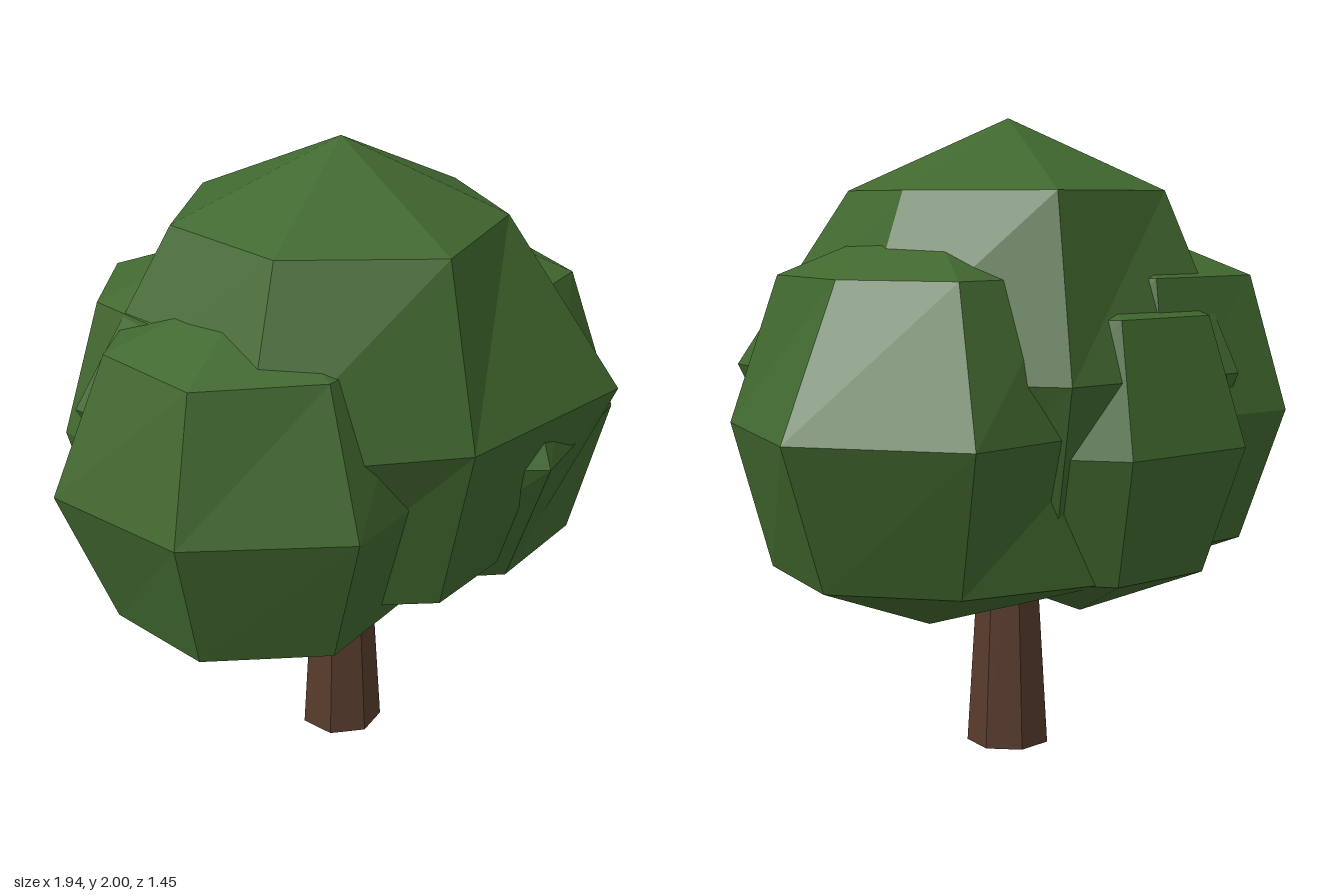
import * as THREE from 'three';

const SIDES = 7;
const even = (r) => Array(SIDES).fill(r);

// Flat-shaded foliage clump: two poles joined by three rings, with one radius per corner.
// Corners run from the front towards +x; "turns" swings single corners round the axis.
function clumpGeometry({ centre: [cx, cy, cz], ry, upper, middle, lower, turns = {} }) {
  const h = ry * Math.SQRT1_2;
  const ring = (radii, y) => radii.map((r, i) => {
    const a = (i / SIDES) * Math.PI * 2 + (turns[i] ?? 0);
    return [cx + Math.sin(a) * r, y, cz + Math.cos(a) * r];
  });
  const rings = [ring(lower, cy - h), ring(middle, cy), ring(upper, cy + h)];
  const bottom = [cx, cy - ry, cz];
  const top = [cx, cy + ry, cz];
  const pos = [];
  const tri = (...corners) => corners.forEach((c) => pos.push(...c));
  for (let i = 0; i < SIDES; i++) {
    const j = (i + 1) % SIDES;
    tri(bottom, rings[0][j], rings[0][i]);
    for (let r = 0; r < 2; r++) {
      tri(rings[r][i], rings[r][j], rings[r + 1][j]);
      tri(rings[r][i], rings[r + 1][j], rings[r + 1][i]);
    }
    tri(rings[2][i], rings[2][j], top);
  }
  const geo = new THREE.BufferGeometry();
  geo.setAttribute('position', new THREE.Float32BufferAttribute(pos, 3));
  geo.computeVertexNormals();
  return geo;
}

export function createModel() {
  const tree = new THREE.Group();
  tree.name = 'tree';
  const leaf = new THREE.MeshStandardMaterial({ color: 0x41682f, flatShading: true });
  leaf.name = 'leafGreen';
  const bark = new THREE.MeshStandardMaterial({ color: 0x573b2c, flatShading: true, side: THREE.DoubleSide });
  bark.name = 'barkBrown';

  const add = (name, geometry, material) => {
    const mesh = new THREE.Mesh(geometry, material);
    mesh.name = name;
    tree.add(mesh);
    return mesh;
  };

  // Tapered, open-ended trunk reaching into the crown
  const trunk = add('trunk', new THREE.CylinderGeometry(0.085, 0.134, 0.8, SIDES, 1, true), bark);
  trunk.position.set(-0.01, 0.4, 0.02);
  trunk.rotation.y = 0.1;

  // Tall central clump
  add('crownTop', clumpGeometry({
    centre: [-0.01, 1.235, 0.02],
    ry: 0.765,
    upper: [0.56, 0.5, 0.5, 0.59, 0.52, 0.52, 0.52],
    middle: [0.7, 0.855, 0.74, 0.75, 0.76, 0.83, 0.76],
    lower: [0.55, 0.6, 0.53, 0.56, 0.55, 0.54, 0.53],
    turns: { 0: 0.03, 1: 0.03 },
  }), leaf);

  // Clump on the right
  add('rightClump', clumpGeometry({
    centre: [-0.36, 1.05, 0.12],
    ry: 0.6,
    upper: [0.43, 0.46, 0.45, 0.44, 0.45, 0.45, 0.46],
    middle: [0.59, 0.59, 0.57, 0.58, 0.6, 0.62, 0.58],
    lower: even(0.45),
    turns: { 5: 0.03 },
  }), leaf);

  // Clump behind it, at the back right
  add('backRightClump', clumpGeometry({
    centre: [-0.28, 1.11, -0.17],
    ry: 0.58,
    upper: [0.43, 0.43, 0.43, 0.44, 0.45, 0.42, 0.43],
    middle: [0.55, 0.55, 0.55, 0.55, 0.57, 0.54, 0.55],
    lower: even(0.43),
    turns: { 4: 0.03 },
  }), leaf);

  // Clump on the left
  add('leftClump', clumpGeometry({
    centre: [0.345, 1.08, -0.03],
    ry: 0.63,
    upper: [0.46, 0.45, 0.41, 0.46, 0.45, 0.44, 0.46],
    middle: [0.67, 0.6, 0.645, 0.67, 0.6, 0.58, 0.62],
    lower: [0.47, 0.48, 0.48, 0.48, 0.6, 0.45, 0.48],
    turns: { 2: 0.03 },
  }), leaf);

  // Small clump at the back
  add('backClump', clumpGeometry({
    centre: [-0.08, 1.02, -0.25],
    ry: 0.55,
    upper: even(0.41),
    middle: even(0.53),
    lower: even(0.4),
  }), leaf);

  return tree;
}
